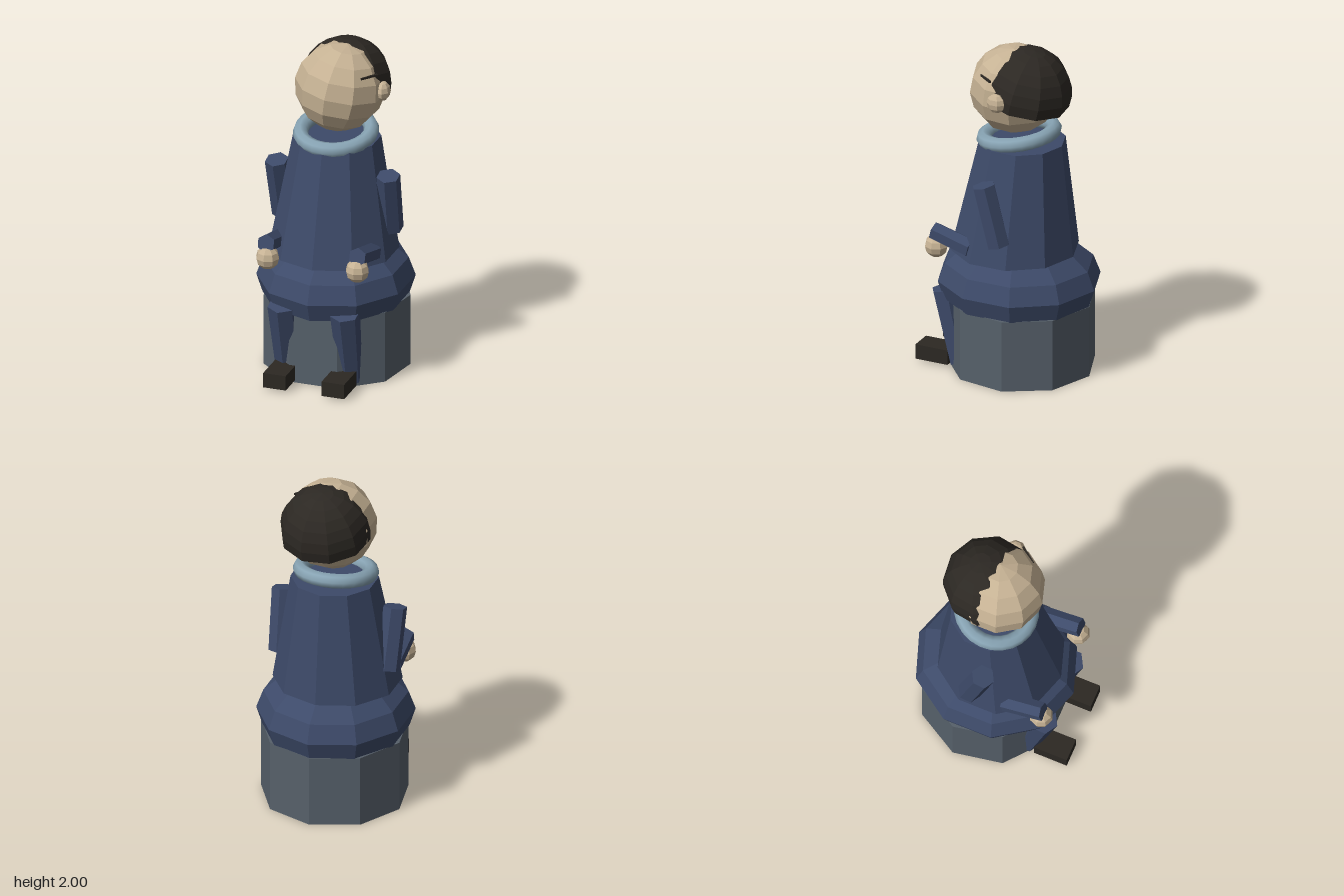
import * as THREE from 'three';

const mat = (color, flatShading = true) =>
  new THREE.MeshStandardMaterial({ color, flatShading, side: THREE.DoubleSide });

export function createModel() {
  const model = new THREE.Group();
  const navy = mat(0x3d4a69), skin = mat(0xc6b294), dark = mat(0x2c2823);
  const grey = mat(0x56606a), blue = mat(0x87a3b3, false);

  const add = (name, geometry, material, x = 0, y = 0, z = 0) => {
    const mesh = new THREE.Mesh(geometry, material);
    mesh.name = name;
    mesh.position.set(x, y, z);
    model.add(mesh);
    return mesh;
  };
  // Six-sided limb running from point a (radius ra) to point b (radius rb)
  const limb = (name, a, b, ra, rb) => {
    const p = new THREE.Vector3(...a), q = new THREE.Vector3(...b);
    const mesh = add(name, new THREE.CylinderGeometry(ra, rb, p.distanceTo(q), 6), navy);
    mesh.position.copy(p).add(q).multiplyScalar(0.5);
    mesh.quaternion.setFromUnitVectors(new THREE.Vector3(0, 1, 0), p.sub(q).normalize());
    return mesh;
  };

  // Nine-sided stool, flat side to the front
  add('stool', new THREE.CylinderGeometry(0.43, 0.43, 0.435, 9), grey, 0, 0.2175, -0.05).rotation.y = Math.PI;

  // Wide seat of the coat
  const hipProfile = [[0, 0.36], [0.3, 0.38], [0.445, 0.43], [0.4825, 0.54], [0.44, 0.65], [0.345, 0.73], [0, 0.75]]
    .map(([r, y]) => new THREE.Vector2(r, y));
  add('hips', new THREE.LatheGeometry(hipProfile, 10), navy, 0, 0, -0.03).scale.x = 0.947;

  // Tapered torso, leaning slightly back
  const torso = new THREE.CylinderGeometry(0.255, 0.375, 0.68, 10);
  torso.applyMatrix4(new THREE.Matrix4().set(
    1, 0, 0, 0,
    0, 1, 0, 0,
    0, -0.07, 1, 0,
    0, 0, 0, 1));
  add('torso', torso, navy, 0, 1.07, -0.025);

  // Scarf ring, raised at the back
  add('collar', new THREE.TorusGeometry(0.205, 0.045, 8, 24), blue, 0, 1.443, -0.03)
    .rotation.x = Math.PI / 2 + 0.17;

  // Tilted head with hair cap at the back
  add('head', new THREE.SphereGeometry(0.265, 10, 8), skin, 0.03, 1.737, -0.02).rotation.set(0, 0.3, -0.17);
  add('hair', new THREE.SphereGeometry(0.268, 10, 7, 0, Math.PI * 2, 0, 1.74), dark, 0.04, 1.735, -0.092)
    .rotation.set(-0.22, 0.1, 0);
  add('ear', new THREE.SphereGeometry(0.058, 7, 6), skin, 0.29, 1.74, -0.025).scale.x = 0.75;
  add('hairStrand', new THREE.BoxGeometry(0.012, 0.012, 0.115), dark, 0.237, 1.858, 0.068)
    .rotation.y = -0.65;

  for (const s of [1, -1]) {
    // Arms
    limb('upperArm', [0.342 * s, 1.235, 0.03], [0.33 * s, 0.87, -0.06], 0.07, 0.07);
    limb('forearm', [0.285 * s, 0.795, 0.14], [0.28 * s, 0.86, 0.38], 0.058, 0.055);
    add('hand', new THREE.SphereGeometry(0.07, 8, 6), skin, 0.275 * s, 0.768, 0.365);
    // Legs
    limb('leg', [0.192 * s, 0.475, 0.345], [0.192 * s, 0.03, 0.25], 0.088, 0.07);
    add('shoe', new THREE.BoxGeometry(0.138, 0.09, 0.205), dark, 0.179 * s, 0.06, 0.411);
  }
  return model;
}
